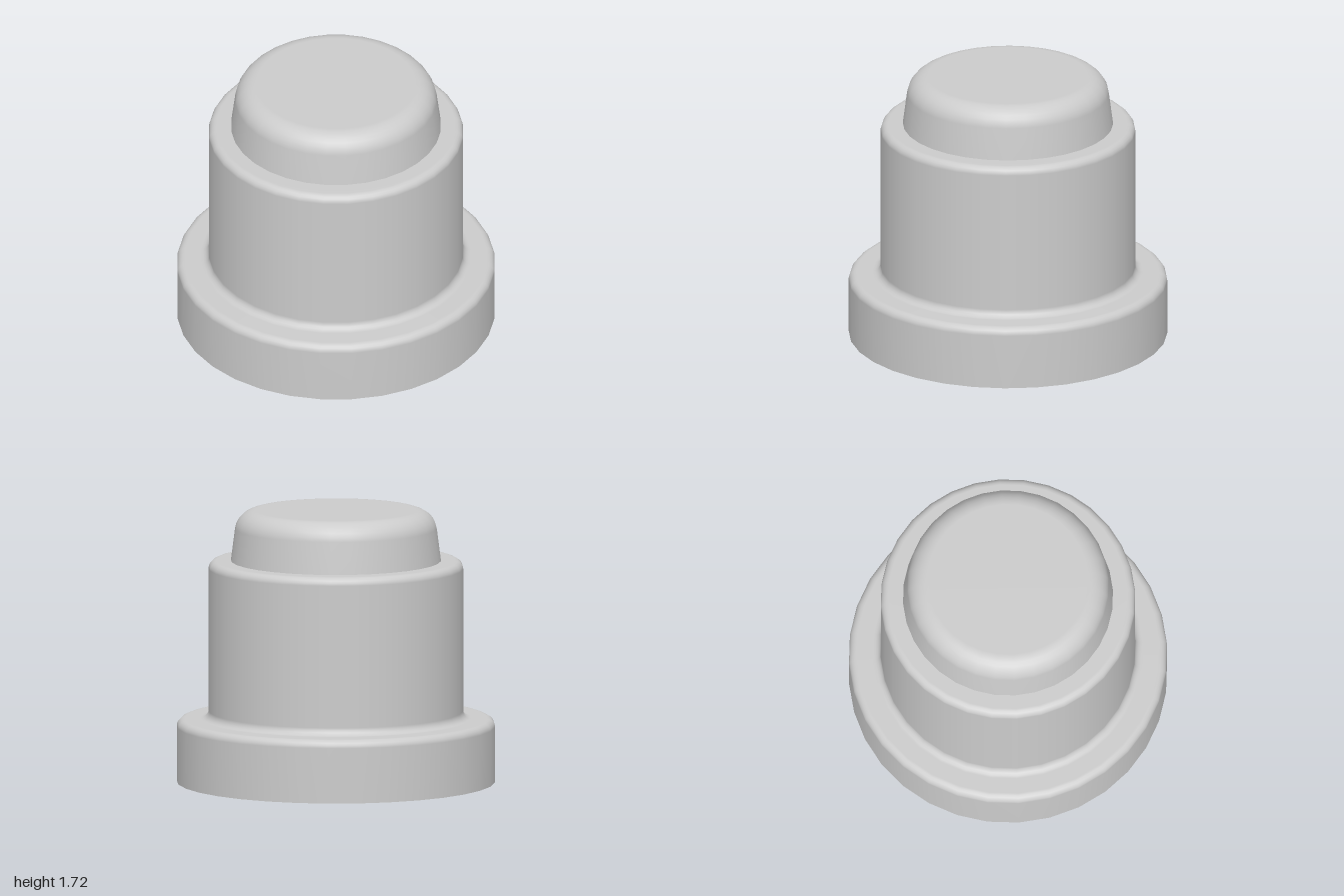
import * as THREE from 'three';

const SIDES = 32;

// Points of a quarter round about (cx, cy), angles in degrees
function arc(cx, cy, r, from, to, steps = 5) {
  return Array.from({ length: steps + 1 }, (_, i) => {
    const a = THREE.MathUtils.degToRad(from + (to - from) * i / steps);
    return new THREE.Vector2(cx + r * Math.cos(a), cy + r * Math.sin(a));
  });
}

export function createModel() {
  const group = new THREE.Group();
  const material = new THREE.MeshStandardMaterial({ color: 0xcccccc });
  const p = (x, y) => new THREE.Vector2(x, y);

  function turn(name, points) {
    const mesh = new THREE.Mesh(new THREE.LatheGeometry(points, SIDES), material);
    mesh.name = name;
    group.add(mesh);
  }

  // Flat underside, separate so its rim stays sharp
  turn('underside', [p(0, 0), p(1, 0)]);

  // Flange and barrel with rounded rims and a fillet between them
  turn('housing', [
    p(1, 0),
    ...arc(0.95, 0.35, 0.05, 0, 90),
    ...arc(0.85, 0.45, 0.05, 270, 180),
    ...arc(0.75, 1.35, 0.05, 0, 90),
    p(0.64, 1.4),
  ]);

  // Tapered push button with a soft shoulder
  turn('button', [
    p(0.66, 1.4),
    ...arc(0.5, 1.585, 0.135, 8, 90, 7),
    p(0, 1.72),
  ]);

  return group;
}
